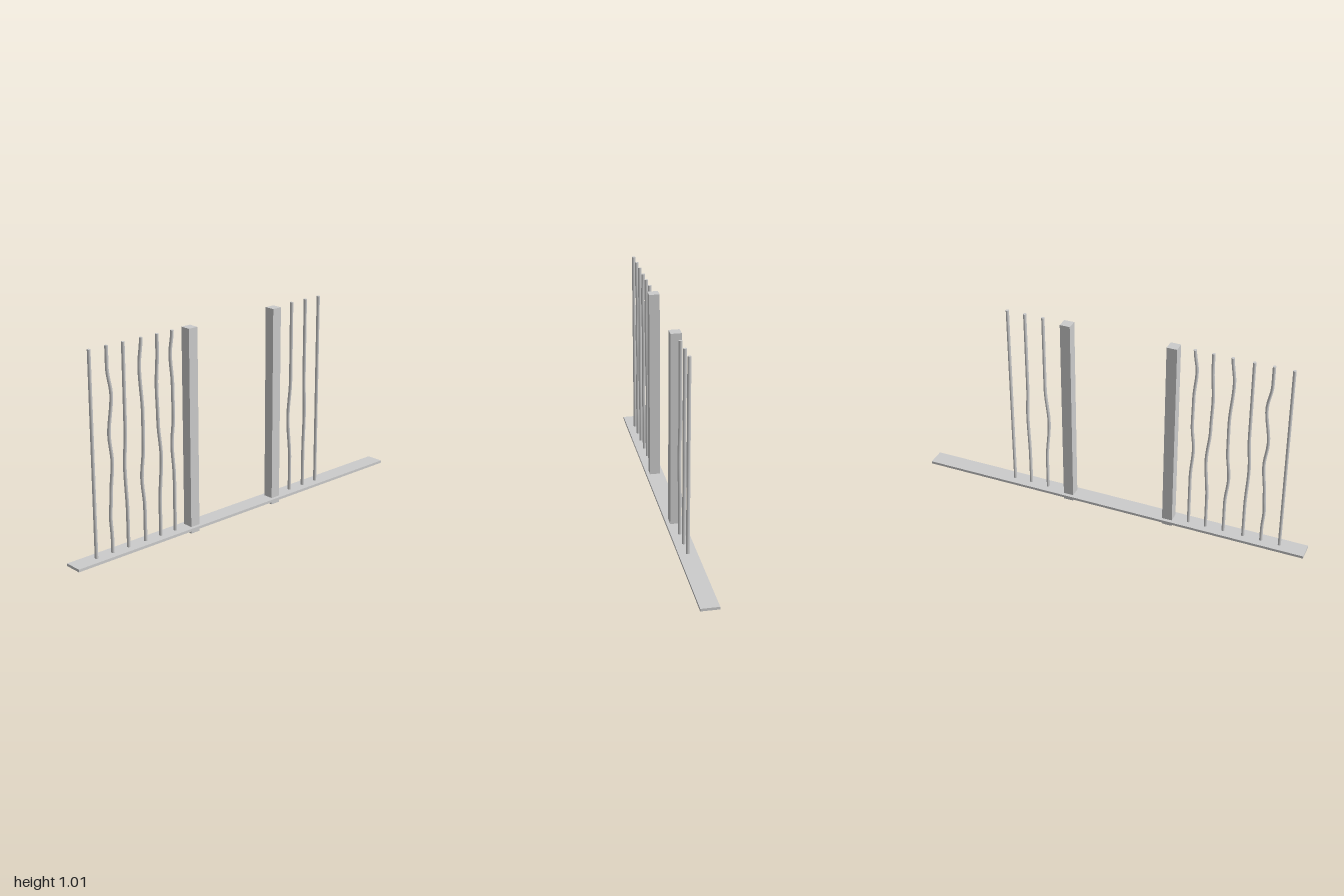
import * as THREE from 'three';

const material = new THREE.MeshStandardMaterial({ color: 0xcccccc });
const BAR_BOTTOM = 0.02, BAR_TOP = 1.01;

function addBox(group, name, size, position) {
  const mesh = new THREE.Mesh(new THREE.BoxGeometry(...size), material);
  mesh.name = name;
  mesh.position.set(...position);
  group.add(mesh);
}

// Sideways offset at height y, eased between [height, offset] knots
function bendAt(knots, y) {
  for (let i = 1; i < knots.length; i++) {
    const [y0, d0] = knots[i - 1], [y1, d1] = knots[i];
    if (y <= y1) return THREE.MathUtils.lerp(d0, d1, THREE.MathUtils.smoothstep(y, y0, y1));
  }
  return knots[knots.length - 1][1];
}

// Thin oval rod whose rings are shifted along x to follow the bends
function addBar(group, name, x, bends) {
  const height = BAR_TOP - BAR_BOTTOM;
  const geometry = new THREE.CylinderGeometry(1, 1, height, 14, bends.length ? 36 : 1);
  geometry.scale(0.0075, 1, 0.009);
  geometry.translate(0, (BAR_TOP + BAR_BOTTOM) / 2, 0);
  if (bends.length) {
    const knots = [[BAR_BOTTOM, 0], ...bends, [BAR_TOP, 0]];
    const p = geometry.attributes.position;
    for (let i = 0; i < p.count; i++) p.setX(i, p.getX(i) + bendAt(knots, p.getY(i)));
    geometry.computeBoundingSphere();
  }
  const mesh = new THREE.Mesh(geometry, material);
  mesh.name = name;
  mesh.position.x = x;
  group.add(mesh);
}

export function createModel() {
  const model = new THREE.Group();
  model.name = 'railing';

  // Bottom rail
  addBox(model, 'bottomRail', [2, 0.013, 0.088], [0, 0.0275, 0]);

  // Square posts passing through the rail
  addBox(model, 'rightPost', [0.051, 1.006, 0.052], [-0.304, 0.503, 0]);
  addBox(model, 'leftPost', [0.051, 1.006, 0.052], [0.226, 0.503, 0]);

  // Upright bars: x position and [height, offset] bends
  const bars = [
    [-0.87, []],
    [-0.777, [[0.1, 0], [0.21, -0.006], [0.3, 0.0], [0.47, 0.013], [0.6, 0], [0.78, 0.019], [0.91, 0]]],
    [-0.686, [[0.2, 0], [0.43, -0.009], [0.6, 0]]],
    [-0.586, [[0.2, 0], [0.35, -0.013], [0.5, 0], [0.65, 0.001], [0.88, -0.013]]],
    [-0.495, [[0.2, 0], [0.42, 0.012], [0.6, -0.003], [0.77, -0.008], [0.93, 0]]],
    [-0.407, [[0.3, 0], [0.47, -0.011], [0.6, 0], [0.75, -0.002], [0.9, -0.013]]],
    [0.35, [[0.2, 0], [0.42, -0.016], [0.62, 0]]],
    [0.444, [[0.2, 0], [0.44, 0.006], [0.6, 0]]],
    [0.535, []],
  ];
  bars.forEach(([x, bends], i) => addBar(model, `bar${i + 1}`, x, bends));

  return model;
}
